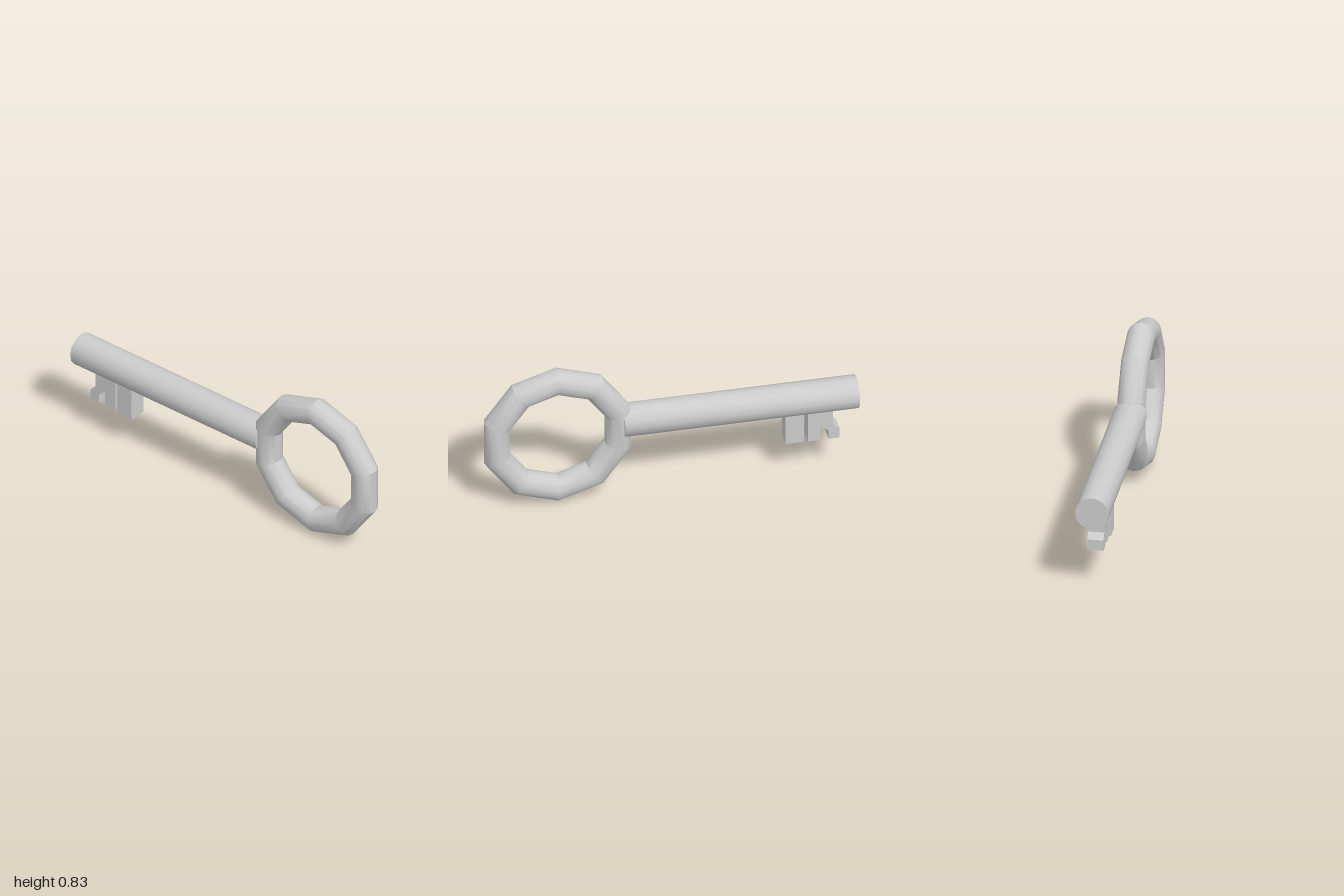
import * as THREE from 'three';
import { toCreasedNormals } from 'three/addons/utils/BufferGeometryUtils.js';

const CREASE = 0.55; // smooth around the tubes, sharp at joints and caps

export function createModel() {
  const group = new THREE.Group();
  const material = new THREE.MeshStandardMaterial({ color: 0xcccccc });

  const add = (name, geometry, x = 0, y = 0, z = 0) => {
    const mesh = new THREE.Mesh(toCreasedNormals(geometry, CREASE), material);
    mesh.name = name;
    mesh.position.set(x, y, z);
    group.add(mesh);
  };

  // Ten-sided ring handle with a corner at the top
  const ring = new THREE.TorusGeometry(0.34, 0.074, 14, 10);
  ring.rotateZ(Math.PI / 10);
  add('ringHandle', ring, 0.607, 0.417, 0);

  // Round shaft running into the ring
  const shaft = new THREE.CylinderGeometry(0.09, 0.09, 1.26, 14);
  shaft.rotateZ(Math.PI / 2);
  add('shaft', shaft, -0.37, 0.456, -0.002);

  // Plain tooth nearest the ring
  add('plainTooth', new THREE.BoxGeometry(0.1, 0.2, 0.095), -0.66, 0.3, 0.005);

  // Notched double tooth near the tip
  const profile = [
    [-0.865, 0.4], [-0.865, 0.29], [-0.9, 0.26], [-0.9, 0.2], [-0.84, 0.2],
    [-0.84, 0.255], [-0.8, 0.29], [-0.8, 0.2], [-0.73, 0.2], [-0.73, 0.4],
  ];
  const shape = new THREE.Shape(profile.map(([x, y]) => new THREE.Vector2(x, y)));
  const notched = new THREE.ExtrudeGeometry(shape, { depth: 0.086, bevelEnabled: false });
  add('notchedTooth', notched, 0, 0, -0.043);

  return group;
}
